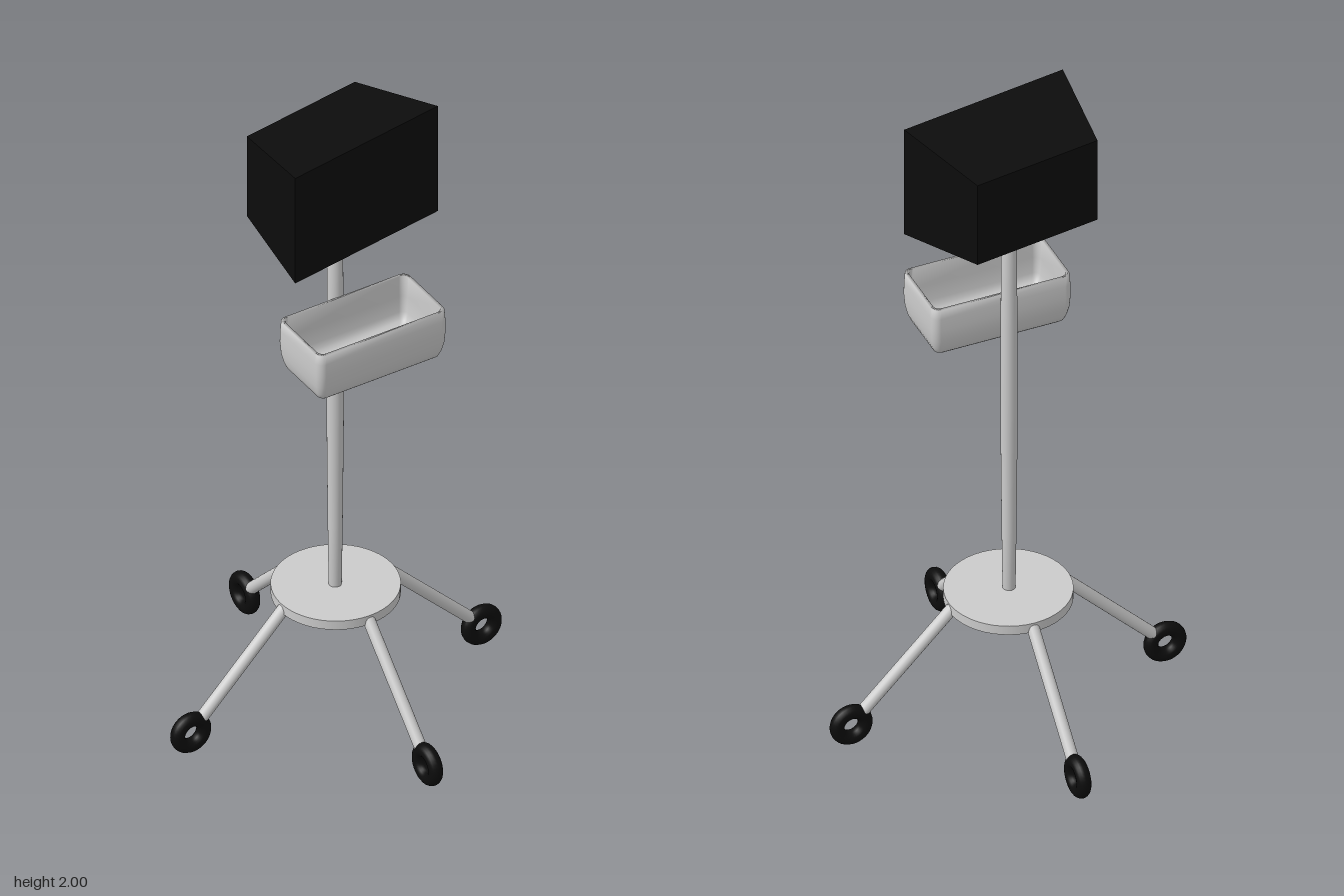
import * as THREE from 'three';

const grey = new THREE.MeshStandardMaterial({ color: 0xcccccc });
const greyThin = new THREE.MeshStandardMaterial({ color: 0xcccccc, side: THREE.DoubleSide });
const black = new THREE.MeshStandardMaterial({ color: 0x0c0c0c });

function part(name, geometry, material, x = 0, y = 0, z = 0) {
  const mesh = new THREE.Mesh(geometry, material);
  mesh.name = name;
  mesh.position.set(x, y, z);
  return mesh;
}

// Cylinder running from point a to point b
function rod(name, a, b, radius) {
  const dir = b.clone().sub(a);
  const mesh = part(name, new THREE.CylinderGeometry(radius, radius, dir.length(), 20), grey);
  mesh.position.copy(a).add(b).multiplyScalar(0.5);
  mesh.quaternion.setFromUnitVectors(new THREE.Vector3(0, 1, 0), dir.normalize());
  return mesh;
}

// Swivelled display housing: a box whose corners are pulled into a skewed wedge
function displayGeometry() {
  const corners = {
    frontRight: [-0.249, 0.177], frontLeft: [0.27, 0.099],
    backRight: [-0.226, -0.113], backLeft: [0.166, -0.171],
  };
  const geo = new THREE.BoxGeometry(1, 1, 1);
  const p = geo.attributes.position;
  for (let i = 0; i < p.count; i++) {
    const front = p.getZ(i) > 0;
    const [x, z] = corners[(front ? 'front' : 'back') + (p.getX(i) < 0 ? 'Right' : 'Left')];
    const y = p.getY(i) > 0 ? (front ? 2 : 1.957) : (front ? 1.637 : 1.682);
    p.setXYZ(i, x, y, z);
  }
  geo.computeVertexNormals();
  return geo;
}

// Open basket: rounded-rectangle loops from outer base, over the rim, to inner floor
function basketGeometry() {
  const halfX = 0.214, halfZ = 0.112, steps = 6;
  const levels = [ // [inset, height]
    [0.04, 1.232], [0.026, 1.235], [0.016, 1.244], [0.009, 1.262], [0.003, 1.29], [0, 1.33],
    [0.001, 1.37], [0.003, 1.4], [0.013, 1.4], [0.011, 1.33], [0.015, 1.28], [0.022, 1.255], [0.045, 1.245],
  ];
  const pos = [], idx = [], ring = 4 * (steps + 1);
  for (const [inset, y] of levels) {
    const r = Math.max(0.024 - inset * 0.4, 0.008);
    for (let c = 0; c < 4; c++) {
      const sx = c === 0 || c === 3 ? 1 : -1, sz = c < 2 ? 1 : -1;
      for (let s = 0; s <= steps; s++) {
        const a = (c + s / steps) * Math.PI / 2;
        pos.push(sx * (halfX - inset - r) + r * Math.cos(a), y, sz * (halfZ - inset - r) + r * Math.sin(a));
      }
    }
  }
  for (let l = 0; l < levels.length - 1; l++) {
    for (let i = 0; i < ring; i++) {
      const a = l * ring + i, b = l * ring + (i + 1) % ring;
      idx.push(a, a + ring, b, b, a + ring, b + ring);
    }
  }
  // base and floor caps
  const last = (levels.length - 1) * ring;
  const base = pos.length / 3;
  pos.push(0, levels[0][1], 0, 0, levels[levels.length - 1][1], 0);
  for (let i = 0; i < ring; i++) {
    const j = (i + 1) % ring;
    idx.push(base, i, j, base + 1, last + j, last + i);
  }
  const geo = new THREE.BufferGeometry();
  geo.setAttribute('position', new THREE.Float32BufferAttribute(pos, 3));
  geo.setIndex(idx);
  geo.computeVertexNormals();
  return geo;
}

export function createModel() {
  const group = new THREE.Group();

  group.add(part('displayHousing', displayGeometry(), black));
  group.add(part('basket', basketGeometry(), greyThin, 0.003, 0, 0.13));

  // Slightly swelling pole, from the base plate into the display
  const poleProfile = [[0, 0.37], [0.018, 0.37], [0.021, 0.6], [0.0245, 1.0], [0.024, 1.3], [0.021, 1.66], [0, 1.67]]
    .map(([r, y]) => new THREE.Vector2(r, y));
  group.add(part('pole', new THREE.LatheGeometry(poleProfile, 24), grey, -0.006, 0, 0));

  group.add(part('basePlate', new THREE.CylinderGeometry(0.182, 0.182, 0.03, 48), grey, -0.003, 0.38, -0.002));

  // Four splayed legs, each ending in a ring wheel
  for (let i = 0; i < 4; i++) {
    const leg = new THREE.Group();
    leg.name = 'leg' + (i + 1);
    leg.rotation.y = i * Math.PI / 2;
    leg.position.set(-0.002, 0, -0.002);
    const top = new THREE.Vector3(0.17, 0.375, 0);
    leg.add(rod('legTube', top, new THREE.Vector3(0.445, 0.099, 0), 0.018));
    const joint = part('legJoint', new THREE.SphereGeometry(0.018, 16, 10), grey);
    joint.position.copy(top);
    leg.add(joint);
    leg.add(part('wheel', new THREE.TorusGeometry(0.043, 0.021, 16, 36), black, 0.479, 0.064, 0));
    group.add(leg);
  }
  return group;
}
